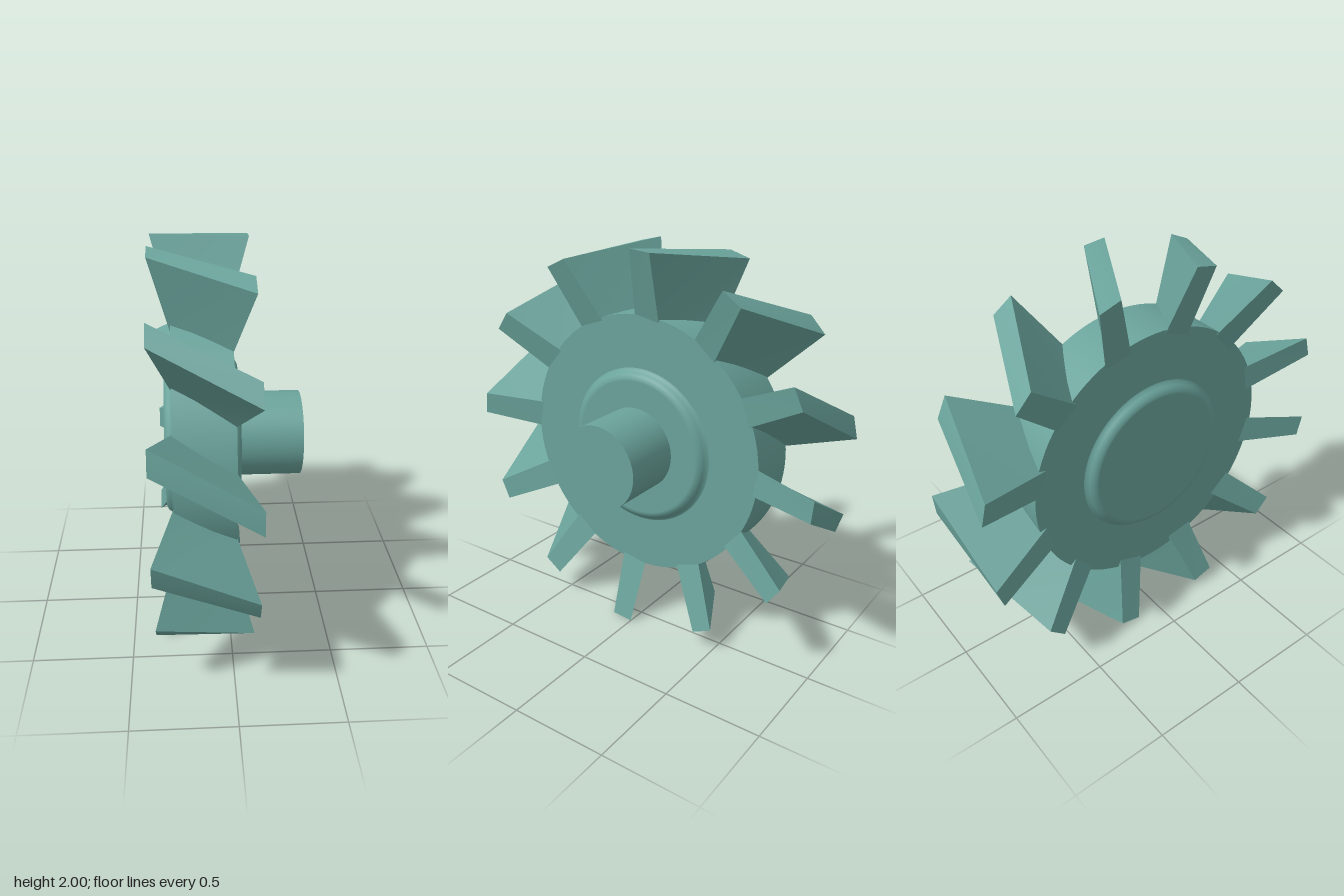
import * as THREE from 'three';

const BLADES = 12;

// Skewed, tapered blade: a box whose corners follow the hub-to-tip taper.
function bladeGeometry() {
  const root = { half: 0.123, outer: 0.153, inner: 0.006, rOuter: 0.58, rInner: 0.58 };
  const tip = { half: 0.235, outer: 0.19, inner: 0.077, rOuter: 0.982, rInner: 0.994 };
  const geo = new THREE.BoxGeometry(2, 2, 2);
  const p = geo.attributes.position;
  for (let i = 0; i < p.count; i++) {
    const sx = Math.sign(p.getX(i));
    const sz = Math.sign(p.getZ(i));
    const s = p.getY(i) > 0 ? tip : root;
    const isOuter = sx === sz;
    p.setXYZ(i, -0.134 + sx * s.half, isOuter ? s.rOuter : s.rInner, sx * (isOuter ? s.outer : s.inner));
  }
  geo.computeVertexNormals();
  return geo;
}

export function createModel() {
  const group = new THREE.Group();
  const teal = new THREE.MeshStandardMaterial({ color: 0x6aa39b });
  teal.name = 'teal';

  const add = (name, geo) => {
    const mesh = new THREE.Mesh(geo, teal);
    mesh.name = name;
    group.add(mesh);
    return mesh;
  };

  // Round parts, turned from upright to lie along x
  const cylinder = (name, r, x0, x1) => {
    const mesh = add(name, new THREE.CylinderGeometry(r, r, x1 - x0, 96));
    mesh.rotation.z = -Math.PI / 2;
    mesh.position.x = (x0 + x1) / 2;
  };
  cylinder('hub', 0.675, -0.272, 0.01);
  cylinder('shaft', 0.213, 0.0, 0.365);

  // Raised boss with a soft edge on each face of the hub
  const profile = [[0.41, -0.001], [0.398, 0.004], [0.388, 0.018], [0.378, 0.032], [0.36, 0.04], [0.35, 0.04], [0, 0.04]]
    .map(([r, y]) => new THREE.Vector2(r, y));
  const bossGeo = new THREE.LatheGeometry(profile, 96);
  for (const [name, side, x] of [['leftBoss', 1, 0.01], ['rightBoss', -1, -0.272]]) {
    const boss = add(name, bossGeo);
    boss.rotation.z = -side * Math.PI / 2;
    boss.position.x = x;
  }

  // Ring of blades
  const bladeGeo = bladeGeometry();
  for (let i = 0; i < BLADES; i++) {
    const blade = add('blade' + (i + 1), bladeGeo);
    blade.rotation.x = -THREE.MathUtils.degToRad(11 + (i * 360) / BLADES);
  }

  group.position.y = 1;
  const model = new THREE.Group();
  model.name = 'bladedWheel';
  group.name = 'wheel';
  model.add(group);
  return model;
}
